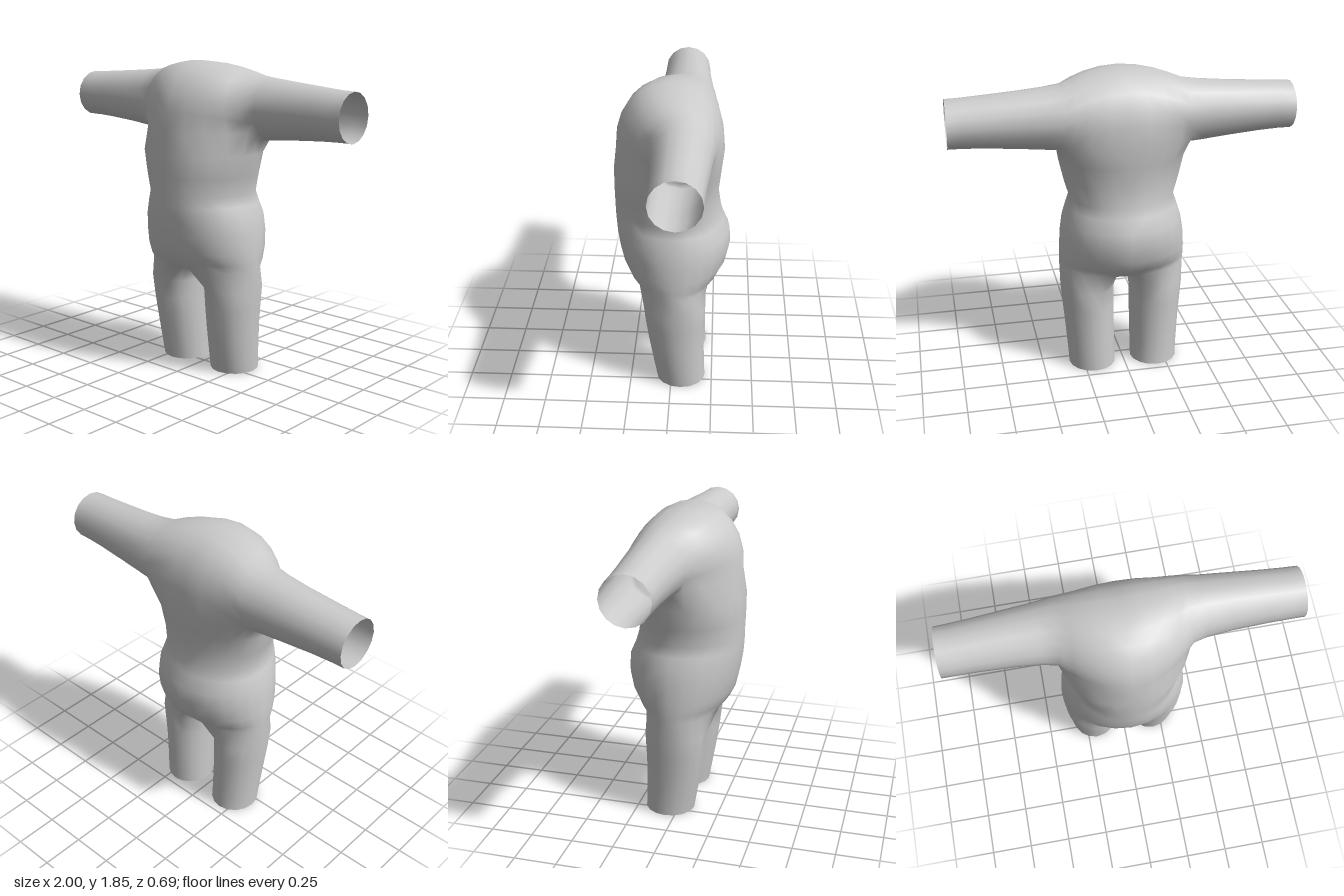
import * as THREE from 'three';
import { mergeVertices } from 'three/addons/utils/BufferGeometryUtils.js';

const rad = THREE.MathUtils.degToRad;
const mix = THREE.MathUtils.lerp;
const range = (n, fn) => Array.from({ length: n }, (_, i) => fn(i));
const bend = (v, e) => Math.sign(v) * Math.abs(v) ** e;

// Closed arm ring at x: starts low at the front, goes over the top to the back, then underneath
const armRing = (x, bottom, top, back, front) => range(17, (m) => {
  const a = rad(-45 + 22.5 * (m % 16));
  return [x, (top + bottom) / 2 + (top - bottom) / 2 * Math.sin(a),
    (front + back) / 2 + (front - back) / 2 * Math.cos(a)];
});

// Half of a torso ring at height y: from the front centre round the side to the back centre
const torsoRing = (y, w, front, back) => range(13, (i) => {
  const a = rad(15 * i), c = Math.cos(a), mid = -0.02;
  return [w * Math.sin(a), y, mid + c * (c > 0 ? front - mid : mid - back)];
});

// Closed leg ring at height y: outer side first, then the inner side
const legRing = (y, inner, outer, front, back) => range(17, (m) => {
  const a = rad(-22.5 + 22.5 * (m % 16));
  return [(inner + outer) / 2 + (outer - inner) / 2 * Math.sin(a), y,
    (front + back) / 2 + (front - back) / 2 * Math.cos(a)];
});

export function createModel() {
  const positions = [];

  // Adds a triangle and its mirror image
  const triangle = (a, b, c) => {
    positions.push(...a, ...b, ...c);
    for (const [x, y, z] of [a, c, b]) positions.push(-x, y, z);
  };
  // Skins neighbouring rows of points
  const skin = (rows) => {
    for (let r = 0; r < rows.length - 1; r++) {
      for (let j = 0; j < rows[r].length - 1; j++) {
        const a = rows[r][j], b = rows[r][j + 1], c = rows[r + 1][j + 1], d = rows[r + 1][j];
        triangle(a, d, c);
        triangle(a, c, b);
      }
    }
  };

  // Arm root, reaching further out at the armpit than on the shoulder
  const root = armRing(0.36, 1.41, 1.785, -0.25, 0.125);
  for (const p of root) p[0] = mix(0.385, 0.35, (p[1] - 1.41) / 0.375);

  // Chest and shoulders: arches from front to back that blend into the arm root
  const chest = range(5, (j) => {
    const s = Math.sin(rad(15 * j)) / Math.sin(rad(60));
    return range(13, (k) => {
      const a = rad(15 * k);
      const y = 1.46 + 0.39 * bend(Math.sin(a), 0.87);
      const z = 0.015 + 0.315 * bend(Math.cos(a), 0.87);
      return [root[k][0] * s, mix(y, root[k][1], s * s), mix(z, root[k][2], s * s)];
    });
  });
  skin(chest);

  // Open sleeve
  skin([
    root,
    armRing(0.45, 1.415, 1.772, -0.238, 0.105),
    armRing(0.6, 1.43, 1.758, -0.225, 0.092),
    armRing(0.8, 1.445, 1.742, -0.208, 0.086),
    armRing(0.92, 1.45, 1.733, -0.201, 0.085),
    armRing(1, 1.45, 1.73, -0.198, 0.085),
  ]);

  // Trunk, hung from the chest arches and the underside of the arm root
  const top = [
    ...range(5, (j) => chest[j][0]),
    root[15], root[14], root[13],
    ...range(5, (j) => chest[4 - j][12]),
  ];
  const hem = torsoRing(0.64, 0.38, 0.22, -0.235);
  hem[1][0] = hem[11][0] = 0.07;
  skin([
    top,
    torsoRing(1.33, 0.372, 0.345, -0.285),
    torsoRing(1.2, 0.342, 0.345, -0.27),
    torsoRing(1.09, 0.31, 0.342, -0.287),
    torsoRing(1.03, 0.332, 0.34, -0.305),
    torsoRing(0.95, 0.358, 0.333, -0.34),
    torsoRing(0.86, 0.372, 0.318, -0.345),
    torsoRing(0.76, 0.38, 0.295, -0.32),
    torsoRing(0.69, 0.381, 0.26, -0.28),
    hem,
  ]);

  // Crotch: a strip running underneath from back to front
  const strip = (back, front, x) => range(7, (k) => {
    const t = k / 6, dip = Math.sin(Math.PI * t);
    return [mix(back[0], x, dip), 0.64 - 0.04 * dip, mix(back[2], front[2], t)];
  });
  const crotch = [strip(hem[12], hem[0], 0), strip(hem[11], hem[1], 0.045)];
  skin(crotch);

  // Open trouser leg
  skin([
    [...hem.slice(1, 12), ...crotch[1].slice(1)],
    legRing(0.52, 0.048, 0.376, 0.168, -0.205),
    legRing(0.4, 0.05, 0.366, 0.155, -0.2),
    legRing(0.28, 0.05, 0.355, 0.138, -0.198),
    legRing(0.1, 0.05, 0.342, 0.108, -0.202),
    legRing(0, 0.05, 0.336, 0.09, -0.207),
  ]);

  let geometry = new THREE.BufferGeometry();
  geometry.setAttribute('position', new THREE.Float32BufferAttribute(positions, 3));
  geometry = mergeVertices(geometry, 1e-4);
  geometry.computeVertexNormals();

  const body = new THREE.Mesh(geometry, new THREE.MeshStandardMaterial({
    color: 0xcccccc, side: THREE.DoubleSide,
  }));
  body.name = 'bodysuit';
  const group = new THREE.Group();
  group.name = 'headlessBodysuit';
  group.add(body);
  return group;
}
